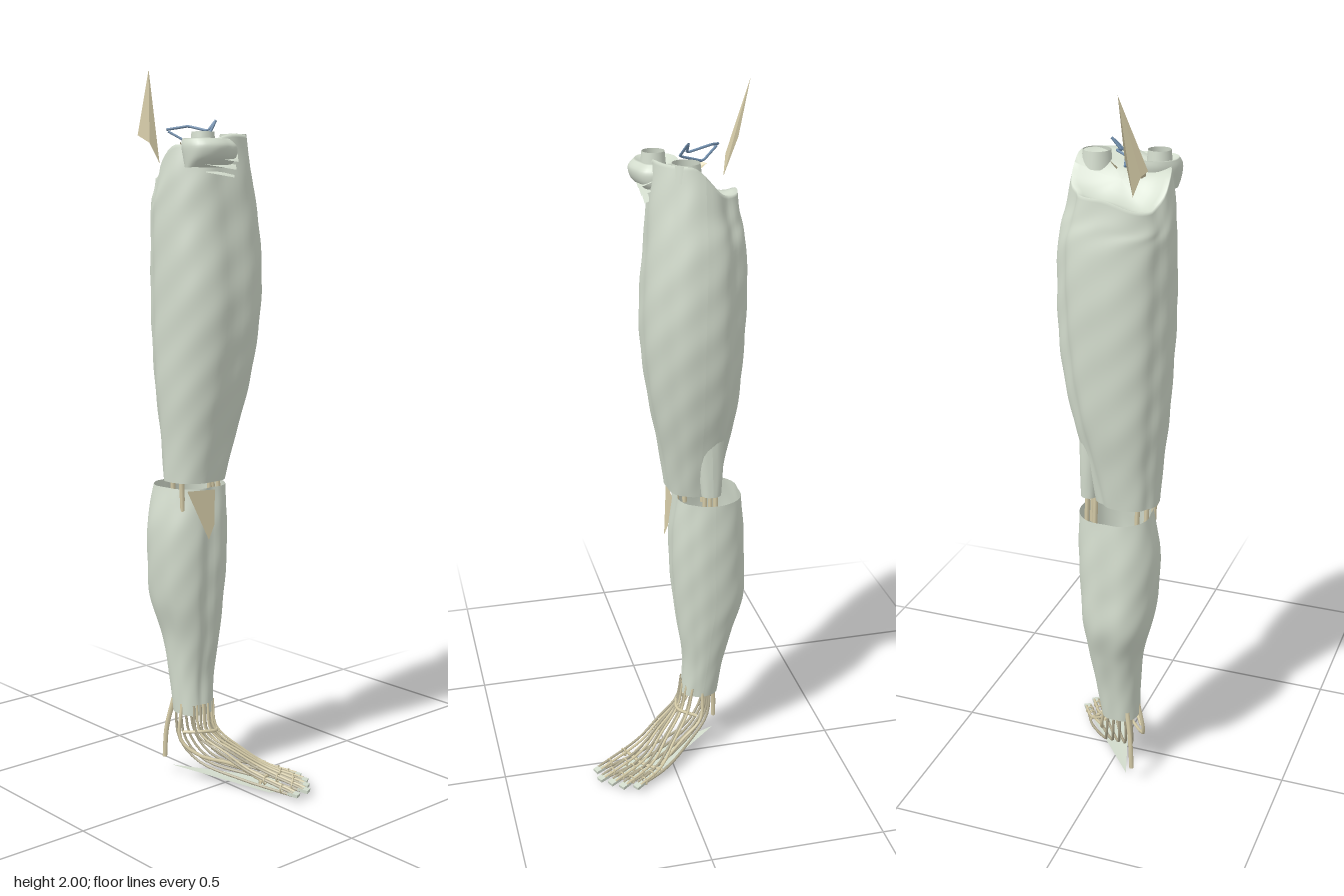
import * as THREE from 'three';

const V = (p) => new THREE.Vector3(...p);
const material = (color, flatShading = false) =>
  new THREE.MeshStandardMaterial({ color, flatShading, side: THREE.DoubleSide });
const muscle = material(0xd3dccd);
const tendon = material(0xd6cca8);
const band = material(0xd6cca8, true);
const sinew = material(0xb4ad92);
const nerve = material(0x7391b0);

function add(group, name, geometry, mat) {
  const mesh = new THREE.Mesh(geometry, mat);
  mesh.name = name;
  group.add(mesh);
  return mesh;
}

// Smooth interpolation of a table of [y, xMin, xMax, zMin, zMax] sections.
function sectionAt(sections, t) {
  const f = t * (sections.length - 1);
  const i = Math.min(Math.floor(f), sections.length - 2), u = f - i;
  const at = (k) => sections[Math.max(0, Math.min(sections.length - 1, k))];
  return sections[0].map((_, c) => {
    const [a, b, d, e] = [at(i - 1)[c], at(i)[c], at(i + 1)[c], at(i + 2)[c]];
    return b + 0.5 * u * (d - a + u * (2 * a - 5 * b + 4 * d - e + u * (3 * (b - d) + e - a)));
  });
}

// Muscle body: oval rings with grooves [angle, depth, width, twist]; cap rings close the top.
function muscleLoft(sections, grooves, { rows = 44, cols = 64, cap = 0, shapeTop = (x, y) => y } = {}) {
  const pos = [], index = [];
  for (let r = 0; r <= rows + cap; r++) {
    const t = Math.min(1, r / rows);
    const k = r > rows ? (r - rows) / cap : 0;
    const [y, x0, x1, z0, z1] = sectionAt(sections, t);
    for (let c = 0; c <= cols; c++) {
      const a = (c / cols) * Math.PI * 2;
      let s = 1 + 0.012 * Math.sin(a * 5 + y * 17) * Math.sin(y * 31 + a * 2);
      for (const [angle, depth, width, twist] of grooves) {
        let d = a - angle - twist * t;
        d = Math.atan2(Math.sin(d), Math.cos(d)) / width;
        s -= depth * Math.exp(-d * d);
      }
      s *= 1 - k;
      const round = (v) => Math.sign(v) * Math.abs(v) ** 0.88;
      const x = (x0 + x1) / 2 + ((x1 - x0) / 2) * s * round(Math.cos(a));
      const z = (z0 + z1) / 2 + ((z1 - z0) / 2) * s * round(Math.sin(a));
      pos.push(x, shapeTop(x, y, z) - 0.03 * Math.sin(k * Math.PI / 2), z);
    }
  }
  const w = cols + 1;
  for (let r = 0; r < rows + cap; r++)
    for (let c = 0; c < cols; c++) {
      const i = r * w + c;
      index.push(i, i + w, i + 1, i + 1, i + w, i + w + 1);
    }
  const g = new THREE.BufferGeometry();
  g.setAttribute('position', new THREE.Float32BufferAttribute(pos, 3));
  g.setIndex(index);
  g.computeVertexNormals();
  return g;
}

function strand(points, radius, straight = false) {
  let curve = new THREE.CatmullRomCurve3(points.map(V));
  if (straight) {
    curve = new THREE.CurvePath();
    for (let i = 1; i < points.length; i++) curve.add(new THREE.LineCurve3(V(points[i - 1]), V(points[i])));
  }
  return new THREE.TubeGeometry(curve, straight ? 32 : 18, radius, 6);
}

// Thin sheet fanned from its first corner.
function sheet(points) {
  const g = new THREE.BufferGeometry().setFromPoints(points.map(V));
  const index = [];
  for (let i = 1; i < points.length - 1; i++) index.push(0, i, i + 1);
  g.setIndex(index);
  g.computeVertexNormals();
  return g;
}

export function createModel() {
  const leg = new THREE.Group();
  leg.name = 'leg';

  // Thigh, cut lower at the back of the hip
  const thigh = [
    [0.88, -0.135, 0.04, -0.155, 0.0], [1.0, -0.142, 0.07, -0.17, 0.02],
    [1.12, -0.153, 0.102, -0.19, 0.045], [1.24, -0.16, 0.126, -0.2, 0.064],
    [1.36, -0.165, 0.14, -0.205, 0.075], [1.48, -0.166, 0.143, -0.206, 0.073],
    [1.6, -0.165, 0.138, -0.2, 0.062], [1.72, -0.162, 0.118, -0.19, 0.052],
    [1.82, -0.15, 0.1, -0.18, 0.04],
  ];
  const hipCut = (x, y, z) => {
    const lift = THREE.MathUtils.smoothstep(y, 1.58, 1.82);
    return y - lift * (0.085 * THREE.MathUtils.smoothstep(-z, 0.03, 0.14) +
      0.03 * THREE.MathUtils.smoothstep(-x, 0, 0.12));
  };
  add(leg, 'thigh', muscleLoft(thigh,
    [[5.35, 0.09, 0.22, 0.35], [3.75, 0.05, 0.2, -0.2], [1.5, 0.06, 0.22, 0.25], [0.5, 0.03, 0.2, 0.2]],
    { rows: 56, cap: 8, shapeTop: hipCut }), muscle);

  // Lower end of the inner thigh muscle
  add(leg, 'innerThighMuscle', muscleLoft([
    [0.89, 0.03, 0.076, -0.135, -0.08], [0.98, 0.025, 0.078, -0.14, -0.07],
    [1.08, 0.02, 0.08, -0.14, -0.06],
  ], [], { rows: 10, cols: 20 }), muscle);

  // Cut muscle stub at the front of the hip, with stacked sheets under it
  add(leg, 'frontHipStub', muscleLoft([
    [1.73, -0.145, -0.01, -0.02, 0.05], [1.755, -0.15, 0.0, -0.03, 0.08],
    [1.785, -0.152, 0.0, -0.04, 0.088], [1.805, -0.145, -0.015, -0.04, 0.07],
  ], [[1.2, 0.1, 0.4, 0]], { rows: 14, cols: 36, cap: 4 }), muscle);
  for (let i = 0; i < 3; i++) {
    const y = 1.705 + i * 0.02, z = 0.06 + i * 0.008;
    add(leg, 'hipSheet', sheet([[-0.11 - i * 0.01, y + 0.012, z - 0.01], [-0.02, y, z],
      [0.005, y + 0.02, z - 0.03], [-0.08, y + 0.02, z - 0.05]]), muscle);
  }

  // Open tube ends of the cut muscles
  for (const [x, y, z, r] of [[-0.095, 1.8, 0.02, 0.03], [0.055, 1.8, -0.03, 0.036]]) {
    const tube = add(leg, 'cutMuscleEnd', new THREE.CylinderGeometry(r, r * 1.15, 0.045, 28, 1, true), muscle);
    tube.position.set(x, y, z);
  }

  // Hip spike and loose bands
  add(leg, 'hipSpike', sheet([[-0.075, 2.0, -0.232], [-0.14, 1.82, -0.2], [-0.115, 1.8, -0.18],
    [-0.09, 1.745, -0.168], [-0.082, 1.85, -0.205]]), band);
  add(leg, 'hipBand', sheet([[-0.06, 1.79, -0.115], [-0.09, 1.8, -0.08], [-0.08, 1.755, -0.035],
    [-0.045, 1.76, -0.07]]), band);
  add(leg, 'smallHipBand', sheet([[-0.015, 1.79, -0.07], [0.012, 1.8, -0.05], [0.005, 1.77, -0.03]]), band);

  // Looped nerve on the hip
  add(leg, 'nerve', strand([[-0.08, 1.835, -0.15], [-0.03, 1.845, -0.118], [-0.018, 1.83, -0.05],
    [0.01, 1.86, -0.048], [-0.027, 1.82, -0.034], [-0.045, 1.8, -0.1], [-0.078, 1.83, -0.145]], 0.0035, true), nerve);

  // Calf, open at both ends
  add(leg, 'calf', muscleLoft([
    [0.2, -0.09, 0.018, -0.155, -0.045], [0.31, -0.096, 0.032, -0.17, -0.05],
    [0.42, -0.106, 0.047, -0.198, -0.034], [0.53, -0.135, 0.06, -0.23, -0.02],
    [0.64, -0.147, 0.068, -0.228, -0.012], [0.75, -0.148, 0.072, -0.224, -0.012],
    [0.86, -0.128, 0.07, -0.213, -0.022],
  ], [[1.75, 0.08, 0.16, -0.2], [4.7, 0.05, 0.25, 0], [0.4, 0.03, 0.2, 0.2], [3.0, 0.04, 0.2, 0]]), muscle);

  // Tendons bridging the knee
  for (const [x, z] of [[-0.115, -0.05], [-0.1, -0.07], [-0.09, -0.12], [0.035, -0.11], [0.05, -0.09], [0.055, -0.12]])
    add(leg, 'kneeTendon', strand([[x - 0.004, 0.95, z], [x, 0.88, z], [x + 0.003, 0.8, z]], 0.007), tendon);
  add(leg, 'kneeBand', sheet([[-0.12, 0.86, -0.02], [-0.06, 0.72, 0.0], [-0.035, 0.76, -0.005],
    [-0.025, 0.855, -0.015]]), band);

  // Toe tendons: [base x, z], [tip x, z], ankle start [x, z]
  const foot = new THREE.Group();
  foot.name = 'foot';
  leg.add(foot);
  const toes = [
    [[0.0, 0.09], [0.055, 0.225], [-0.065, -0.055]], [[0.045, 0.1], [0.097, 0.222], [-0.045, -0.05]],
    [[0.07, 0.09], [0.122, 0.195], [-0.03, -0.048]], [[0.09, 0.075], [0.145, 0.167], [-0.01, -0.055]],
    [[0.11, 0.055], [0.156, 0.127], [0.008, -0.07]],
  ];
  toes.forEach(([[bx, bz], [tx, tz], [ax, az]], i) => {
    const y = 0.066 - i * 0.006;
    const dir = Math.atan2(tx - bx, tz - bz);
    const dx = Math.cos(dir) * 0.007, dz = -Math.sin(dir) * 0.007;
    for (const s of [-1, 1])
      add(foot, 'upperToeTendon', strand([[ax + s * 0.005, 0.23, az], [ax + s * 0.006, 0.15, az + 0.015],
        [(ax + bx) / 2 + s * 0.007, 0.105 - i * 0.005, (az + bz) / 2 + 0.01],
        [bx + s * dx, y, bz + s * dz], [tx + s * dx, 0.024, tz + s * dz]], 0.0037), s < 0 ? sinew : tendon);
    add(foot, 'lowerToeTendon', strand([[-0.075 + i * 0.017, 0.22, -0.13], [-0.075 + i * 0.02, 0.12, -0.115],
      [-0.05 + i * 0.02, 0.06, -0.06], [bx, 0.03, bz - 0.02], [tx, 0.014, tz]], 0.004), sinew);
    const tip = add(foot, 'toeTip', new THREE.BoxGeometry(0.021, 0.009, 0.03), muscle);
    tip.position.set(tx, 0.02, tz);
    tip.rotation.set(0.15, dir, 0, 'YXZ');
    // Small loops binding the tendons to each toe
    for (const f of [0.4, 0.75]) {
      const loop = add(foot, 'toeLoop', new THREE.TorusGeometry(0.011, 0.0025, 5, 12), tendon);
      loop.position.set(bx + (tx - bx) * f, y + (0.022 - y) * f - 0.004, bz + (tz - bz) * f);
      loop.rotation.y = dir;
    }
  });

  // Heel cord, side tendons and bands across the foot
  add(foot, 'heelCord', strand([[-0.07, 0.23, -0.145], [-0.085, 0.14, -0.16], [-0.09, 0.055, -0.163]], 0.007), tendon);
  add(foot, 'outerAnkleTendon', strand([[-0.085, 0.23, -0.09], [-0.098, 0.13, -0.08], [-0.07, 0.09, -0.03],
    [-0.01, 0.07, 0.05], [0.03, 0.035, 0.12]], 0.005), tendon);
  add(foot, 'innerAnkleTendon', strand([[0.012, 0.23, -0.1], [0.03, 0.13, -0.09], [0.05, 0.08, -0.03],
    [0.11, 0.045, 0.05]], 0.005), tendon);
  add(foot, 'ankleBand', strand([[-0.09, 0.15, -0.08], [-0.06, 0.155, -0.04], [-0.01, 0.15, -0.03],
    [0.025, 0.14, -0.08]], 0.005), tendon);
  add(foot, 'footBand', strand([[0.005, 0.04, 0.14], [0.045, 0.045, 0.125], [0.085, 0.04, 0.1],
    [0.12, 0.035, 0.05]], 0.005), tendon);

  // Flat sole sheet, widening from the heel
  add(foot, 'sole', sheet([[-0.07, 0.026, -0.155], [0.03, 0.008, 0.15], [0.07, 0.002, 0.16],
    [0.1, 0.0, 0.14], [0.125, 0.006, 0.09]]), muscle);
  return leg;
}
